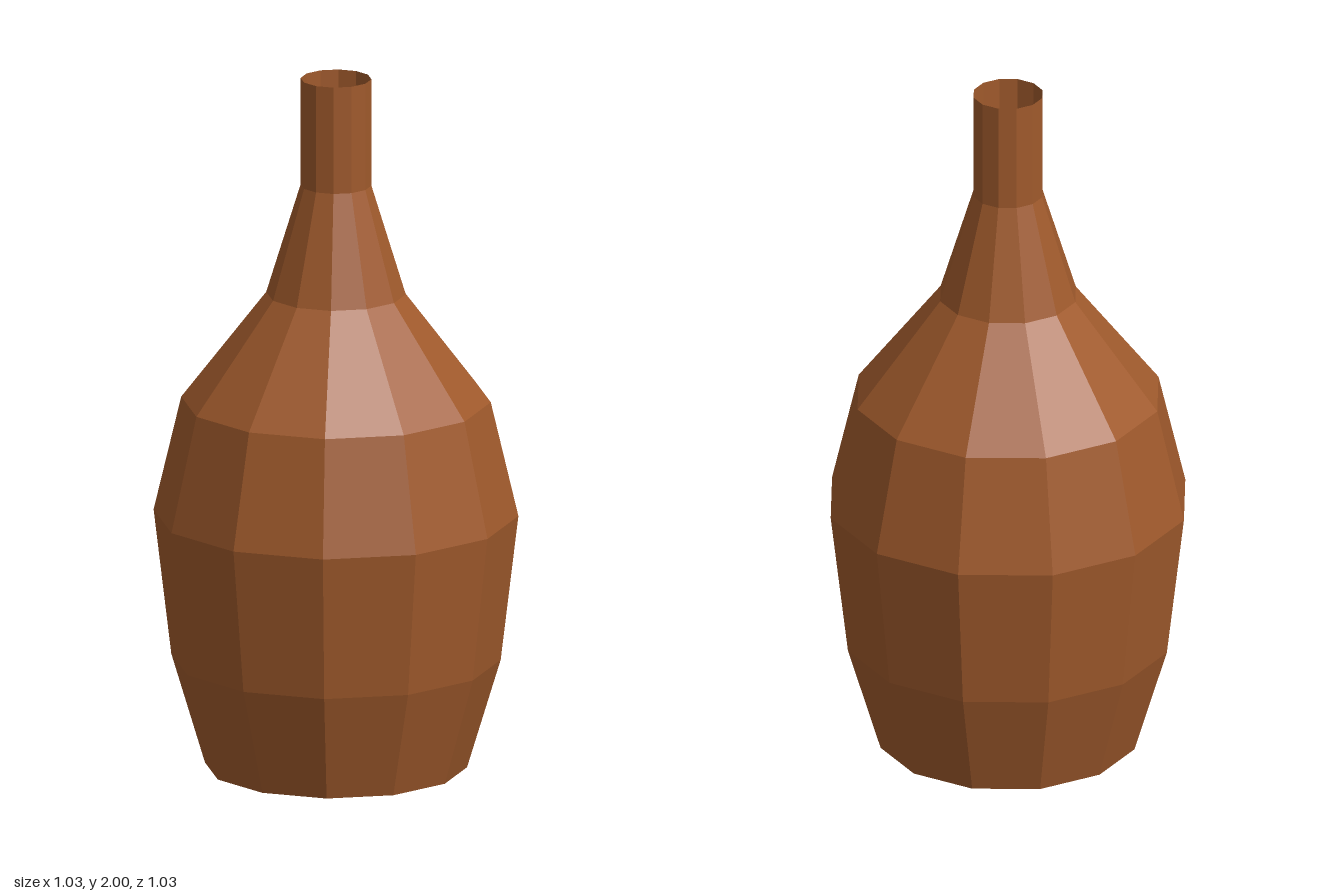
import * as THREE from 'three';

export function createModel() {
  const group = new THREE.Group();
  group.name = 'bottle';
  const sides = 12;
  const material = new THREE.MeshStandardMaterial({
    color: 0xa05a2c, flatShading: true, side: THREE.DoubleSide,
  });

  // Thin open shell: foot, belly, shoulder and straight neck
  const profile = [
    [0.37, 0], [0.465, 0.315], [0.515, 0.735], [0.437, 1.065],
    [0.197, 1.375], [0.1, 1.69], [0.1, 2],
  ].map(([r, y]) => new THREE.Vector2(r, y));
  const body = new THREE.Mesh(new THREE.LatheGeometry(profile, sides), material);
  body.name = 'body';
  group.add(body);

  // Flat base, facing down
  const base = new THREE.Mesh(new THREE.CircleGeometry(0.37, sides), material);
  base.name = 'base';
  base.rotation.x = Math.PI / 2;
  group.add(base);

  return group;
}
